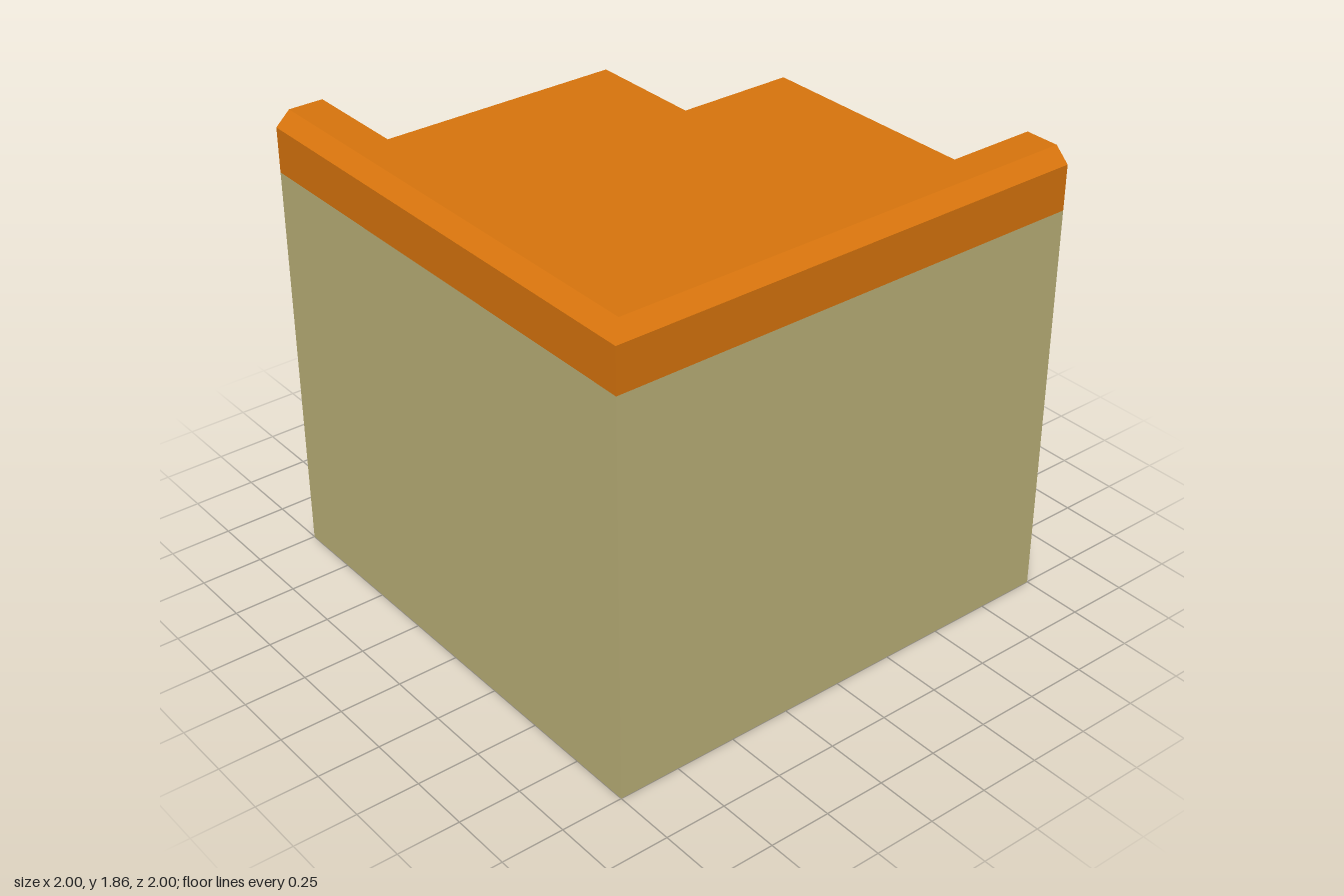
import * as THREE from 'three';

// Profiles across the block: [inset from the outer edge, height], outer side first.
const SEAM = [[0, 1.62], [0.253, 1.33], [1.613, 1.33]];
const BASE = [[1.613, 0], [0, 0], ...SEAM];
const TRIM = [
  SEAM[0], [0, 1.8], [0.058, 1.855], [0.198, 1.855], [0.253, 1.8], [0.253, 1.735],
  [0.373, 1.615], [1.498, 1.615], [1.613, 1.5], SEAM[2], SEAM[1],
];

// Sweeps a closed profile round the mitred corner and caps both ends.
// Only the first `sides` edges get walls; the rest lie on the hidden seam.
function sweepCorner(profile, sides) {
  const path = [
    ([d, y]) => [1, y, 1 - d],
    ([d, y]) => [d - 1, y, 1 - d],
    ([d, y]) => [d - 1, y, -1],
  ];
  const positions = [];
  const tri = (a, b, c) => positions.push(...a, ...b, ...c);

  // Walls along the two arms
  for (let i = 0; i < sides; i++) {
    const p = profile[i];
    const q = profile[(i + 1) % profile.length];
    for (let k = 0; k < 2; k++) {
      const [from, to] = [path[k], path[k + 1]];
      tri(from(p), from(q), to(q));
      tri(from(p), to(q), to(p));
    }
  }

  // End caps
  const points = profile.map(([d, y]) => new THREE.Vector2(d, y));
  for (const face of THREE.ShapeUtils.triangulateShape(points, [])) {
    const corners = face.map((i) => points[i]);
    let [a, b, c] = face.map((i) => profile[i]);
    if (THREE.ShapeUtils.area(corners) < 0) [b, c] = [c, b];
    tri(path[0](a), path[0](b), path[0](c));
    tri(path[2](a), path[2](c), path[2](b));
  }

  const geometry = new THREE.BufferGeometry();
  geometry.setAttribute('position', new THREE.Float32BufferAttribute(positions, 3));
  geometry.computeVertexNormals();
  return geometry;
}

function part(name, geometry, color) {
  const mesh = new THREE.Mesh(geometry, new THREE.MeshStandardMaterial({ color }));
  mesh.name = name;
  return mesh;
}

export function createModel() {
  const group = new THREE.Group();
  group.name = 'cornerBlock';

  // Pale body: underside and outer wall, then the inner wall closing the notch
  const bodyProfile = [SEAM[2], ...BASE.slice(0, 3), SEAM[1]];
  group.add(part('body', sweepCorner(bodyProfile, 3), 0xbdb279));

  // Orange top: raised rim, sunken floor and bevelled inner edge
  group.add(part('topTrim', sweepCorner(TRIM, 9), 0xd9750d));
  return group;
}
